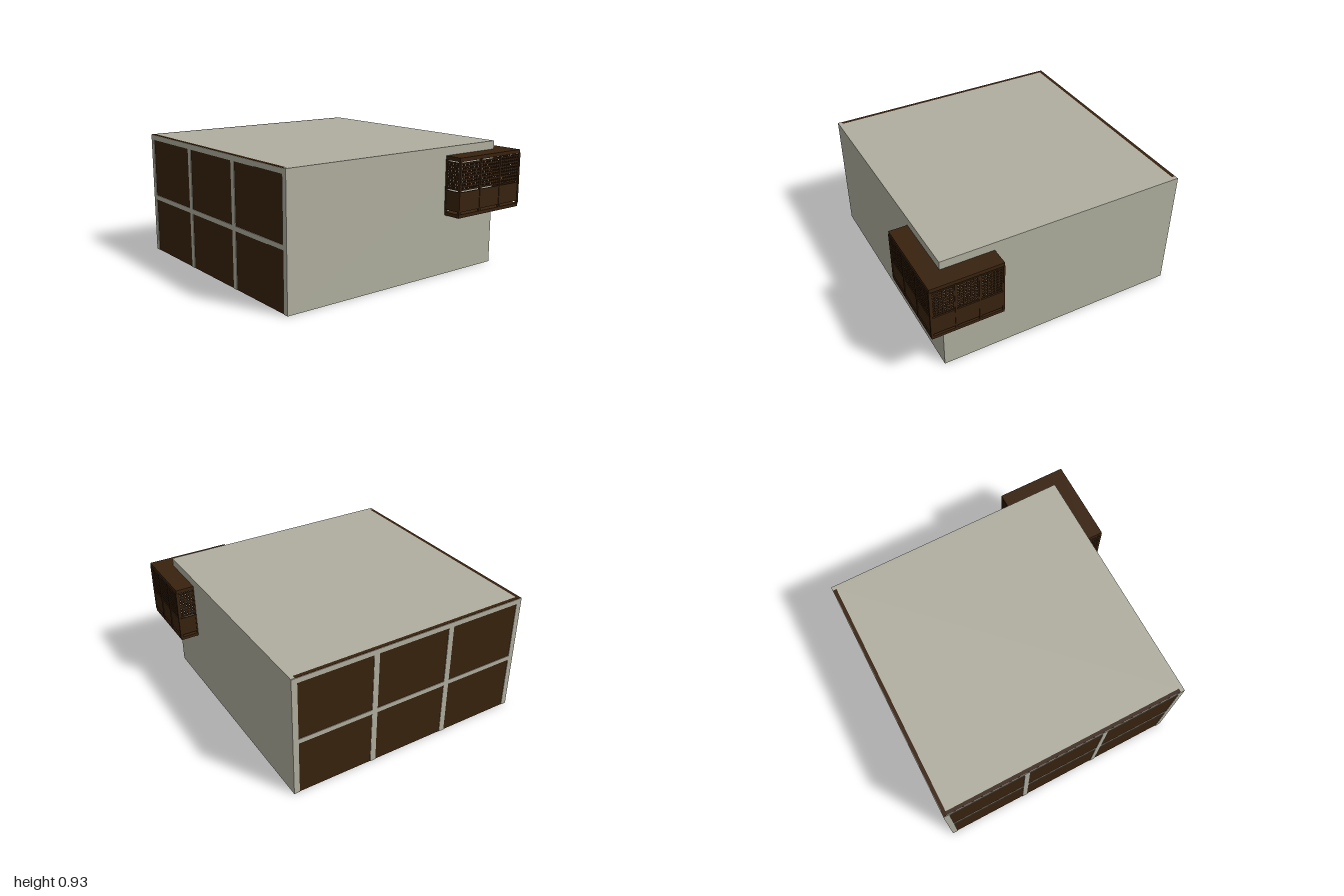
import * as THREE from 'three';

export function createModel() {
  const model = new THREE.Group();
  const plaster = new THREE.MeshStandardMaterial({ color: 0xafae9f });
  plaster.name = 'grey plaster';
  const wood = new THREE.MeshStandardMaterial({ color: 0x38220e });
  wood.name = 'dark wood';

  // Box given by its minimum and maximum corners
  function box(name, material, a, b, parent = model) {
    const mesh = new THREE.Mesh(new THREE.BoxGeometry(b[0] - a[0], b[1] - a[1], b[2] - a[2]), material);
    mesh.position.set((a[0] + b[0]) / 2, (a[1] + b[1]) / 2, (a[2] + b[2]) / 2);
    mesh.name = name;
    parent.add(mesh);
    return mesh;
  }

  // Hollow block, open below
  const E = 0.86, H = 0.93, T = 0.03, P = 0.004;
  box('frontWall', plaster, [-1, 0, E - T], [E, H, E]);
  box('sideWall', plaster, [E - T, 0, -1 + P], [E, H, E - T]);
  box('roof', plaster, [-1 + T, H - T, -1 + T], [E - T, H, E - T]);
  box('backPanel', wood, [-1 + P, 0, -1 + P], [E - T, H, -1 + T]);
  box('leftPanel', wood, [-1 + P, 0, -1 + T], [-1 + T, H, E - T]);

  // Flat beams on the two panelled walls
  const W = 0.042;
  for (let i = 0; i < 4; i++) {
    const c = -1 + i * (E + 1 - W) / 3;
    box('backPost', plaster, [c, 0, -1], [c + W, H - 0.002, -1 + P]);
    box('leftPost', plaster, [-1, 0, c], [-1 + P, H - 0.002, c + W]);
  }
  for (const [y0, y1] of [[0.415, 0.45], [H - 0.04, H - 0.002]]) {
    for (let i = 0; i < 3; i++) {
      const c = -1 + i * (E + 1 - W) / 3 + W, d = c + (E + 1 - W) / 3 - W;
      box('backRail', plaster, [c, y0, -1], [d, y1, -1 + P]);
      box('leftRail', plaster, [-1, y0, c], [-1 + P, y1, d]);
    }
  }

  // Corner balcony
  const balcony = new THREE.Group();
  balcony.name = 'cornerBalcony';
  model.add(balcony);

  // L-shaped slab wrapped round the corner
  function slab(name, material, y0, y1, inset) {
    const o = 0.995 - inset, x = 0.36 + inset, z = 0.47 + inset;
    const shape = new THREE.Shape([[x, E], [E, E], [E, z], [o, z], [o, o], [x, o]]
      .map(([u, v]) => new THREE.Vector2(u, v)));
    const mesh = new THREE.Mesh(new THREE.ExtrudeGeometry(shape, { depth: y1 - y0, bevelEnabled: false }), material);
    mesh.rotation.x = Math.PI / 2;
    mesh.position.y = y1;
    mesh.name = name;
    balcony.add(mesh);
  }
  slab('balconySoffit', plaster, 0.436, 0.44, 0.008);
  slab('balconyFloor', wood, 0.44, 0.464, 0);
  slab('balconyRoof', wood, 0.84, 0.868, 0);

  // Lattice with square holes
  function lattice(w, h) {
    const rect = (Type, x, y, a, b) => new Type([[x, y], [x + a, y], [x + a, y + b], [x, y + b]]
      .map(([u, v]) => new THREE.Vector2(u, v)));
    const shape = rect(THREE.Shape, 0, 0, w, h);
    const bar = 0.01, nx = Math.round(w / 0.0248), ny = Math.round(h / 0.0248);
    const px = (w - bar) / nx, py = (h - bar) / ny;
    for (let i = 0; i < nx; i++) {
      for (let j = 0; j < ny; j++) {
        shape.holes.push(rect(THREE.Path, bar + i * px, bar + j * py, px - bar, py - bar));
      }
    }
    return new THREE.ExtrudeGeometry(shape, { depth: 0.01, bevelEnabled: false });
  }

  // One run of railing: posts, solid lower panels, lattice above
  function railing(name, x0, z0, x1, z1, bays, firstPost, lastPost) {
    const run = new THREE.Group();
    run.name = name;
    run.position.set(x0, 0, z0);
    run.rotation.y = -Math.atan2(z1 - z0, x1 - x0);
    balcony.add(run);
    const step = Math.hypot(x1 - x0, z1 - z0) / bays;
    for (let i = 0; i <= bays; i++) {
      if ((i === 0 && !firstPost) || (i === bays && !lastPost)) continue;
      box('post', wood, [i * step - 0.007, 0.46, -0.009], [i * step + 0.007, 0.845, 0.009], run);
    }
    for (let i = 0; i < bays; i++) {
      const a = i * step + 0.005, b = (i + 1) * step - 0.005;
      box('lowerPanel', wood, [a, 0.482, -0.005], [b, 0.623, 0.005], run);
      const grid = new THREE.Mesh(lattice(b - a, 0.197), wood);
      grid.position.set(a, 0.634, -0.005);
      grid.name = 'lattice';
      run.add(grid);
    }
  }
  railing('frontRailing', 0.368, 0.99, 0.99, 0.99, 3, true, true);
  railing('sideRailing', 0.99, 0.99, 0.99, 0.478, 3, false, true);
  railing('frontEndRailing', 0.368, E, 0.368, 0.99, 1, true, false);
  railing('sideEndRailing', E, 0.478, 0.99, 0.478, 1, true, false);

  return model;
}
